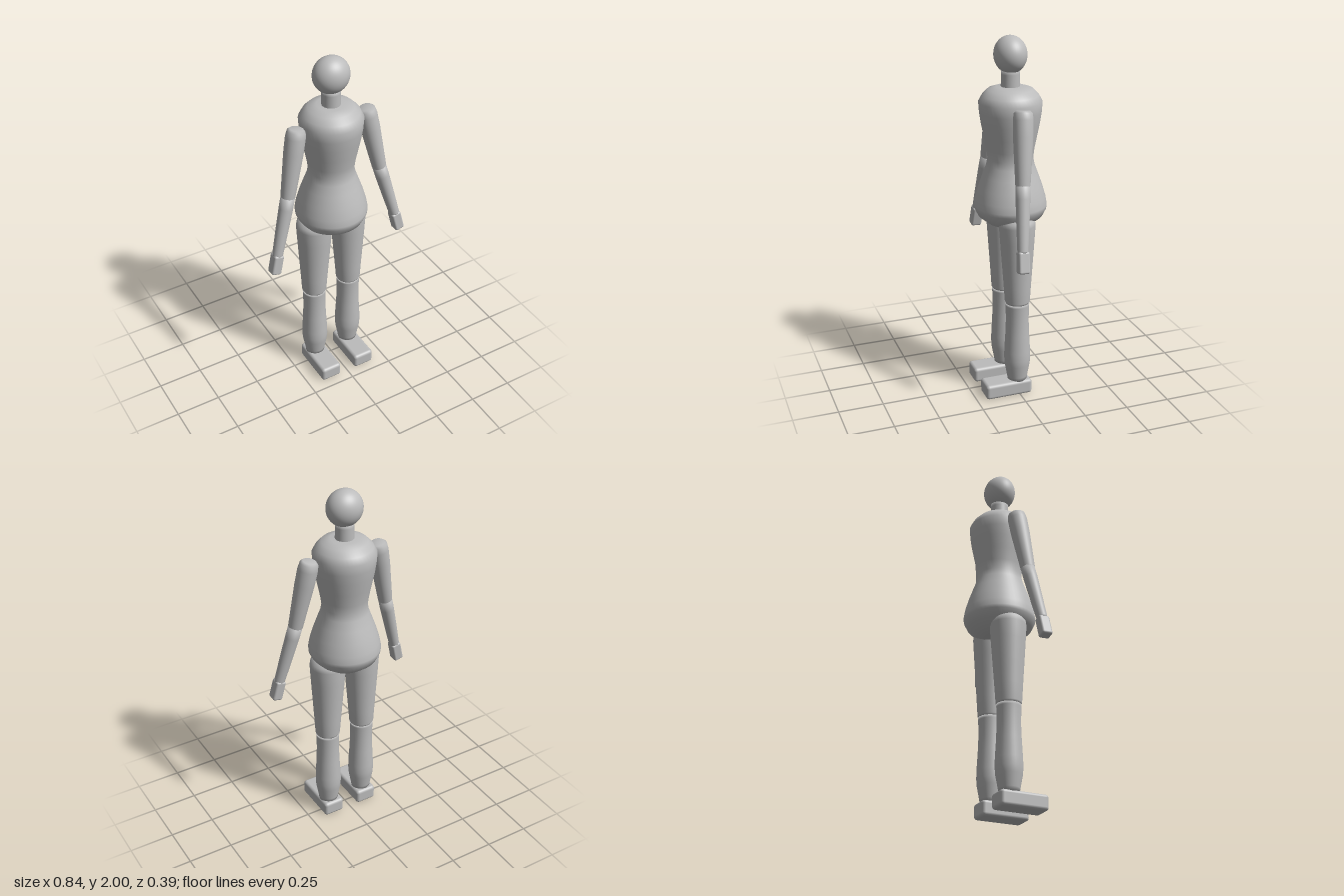
import * as THREE from 'three';
import { RoundedBoxGeometry } from 'three/addons/geometries/RoundedBoxGeometry.js';

const UP = new THREE.Vector3(0, 1, 0);
const grey = new THREE.MeshStandardMaterial({ color: 0xbcbcbc });
grey.name = 'mannequin grey';

function add(group, name, geometry) {
  const mesh = new THREE.Mesh(geometry, grey);
  mesh.name = name;
  group.add(mesh);
  return mesh;
}

// Closed turned solid; profile is [radius, height] from bottom to top
function turned(profile, segments = 40) {
  const first = profile[0], last = profile[profile.length - 1];
  const pts = [[0, first[1]], ...profile, [0, last[1]]];
  return new THREE.LatheGeometry(pts.map(([r, y]) => new THREE.Vector2(r, y)), segments);
}

// Aim a mesh whose base is at its origin from a bottom point to a top point
function aim(mesh, bottom, top) {
  mesh.position.copy(bottom);
  mesh.quaternion.setFromUnitVectors(UP, top.clone().sub(bottom).normalize());
}

// Limb segment; profile heights run from 0 (bottom) to 1 (top)
function limb(group, name, bottom, top, profile) {
  const length = bottom.distanceTo(top);
  const geometry = turned(profile.map(([r, t]) => [r, t * length]), 32);
  aim(add(group, name, geometry), bottom, top);
}

export function createModel() {
  const model = new THREE.Group();
  model.name = 'mannequin';

  // Torso, neck and head
  add(model, 'torso', turned([
    [0.08, 0.97], [0.125, 0.99], [0.175, 1.03], [0.195, 1.07], [0.197, 1.09], [0.19, 1.13],
    [0.173, 1.19], [0.15, 1.255], [0.13, 1.31], [0.122, 1.35], [0.128, 1.4], [0.142, 1.47],
    [0.156, 1.54], [0.165, 1.6], [0.169, 1.655], [0.15, 1.69], [0.12, 1.72], [0.075, 1.735],
  ], 48));
  add(model, 'neck', turned([[0.05, 1.71], [0.05, 1.73], [0.049, 1.8], [0.05, 1.83]]));
  const head = add(model, 'head', new THREE.SphereGeometry(1, 40, 28));
  head.scale.set(0.099, 0.099, 0.087);
  head.position.y = 1.901;

  for (const s of [1, -1]) {
    const side = s > 0 ? 'left' : 'right';
    const p = (x, y, z) => new THREE.Vector3(s * x, y, z);

    // Arm
    const arm = new THREE.Group();
    arm.name = side + 'Arm';
    model.add(arm);
    const shoulder = p(0.203, 1.653, 0.005), elbow = p(0.278, 1.28, 0.034);
    const wrist = p(0.366, 0.955, 0.066), fingertips = p(0.393, 0.843, 0.073);
    limb(arm, 'upperArm', elbow, shoulder,
      [[0.034, -0.02], [0.039, 0], [0.045, 0.3], [0.052, 0.65], [0.053, 0.88], [0.048, 0.97], [0.036, 1]]);
    limb(arm, 'forearm', wrist, elbow,
      [[0.027, -0.02], [0.029, 0], [0.034, 0.4], [0.038, 0.8], [0.038, 1]]);
    const length = wrist.distanceTo(fingertips);
    const palm = new RoundedBoxGeometry(0.056, length, 0.06, 3, 0.011);
    palm.translate(0, length / 2, 0);
    aim(add(arm, 'hand', palm), fingertips, wrist);

    // Leg
    const leg = new THREE.Group();
    leg.name = side + 'Leg';
    model.add(leg);
    const hip = p(0.105, 1.065, 0), knee = p(0.111, 0.55, 0), ankle = p(0.11, 0.08, 0);
    limb(leg, 'thigh', knee, hip,
      [[0.064, 0], [0.069, 0.02], [0.075, 0.2], [0.084, 0.45], [0.093, 0.7], [0.099, 0.88],
        [0.095, 0.93], [0.075, 0.975], [0.04, 1]]);
    limb(leg, 'shin', ankle, knee,
      [[0.054, 0], [0.057, 0.05], [0.07, 0.2], [0.073, 0.28], [0.072, 0.38], [0.066, 0.6],
        [0.063, 0.78], [0.065, 0.97], [0.067, 1]]);
    const foot = add(leg, 'foot', new RoundedBoxGeometry(0.122, 0.085, 0.268, 4, 0.018));
    foot.position.set(s * 0.108, 0.0425, 0.064);
  }
  return model;
}
